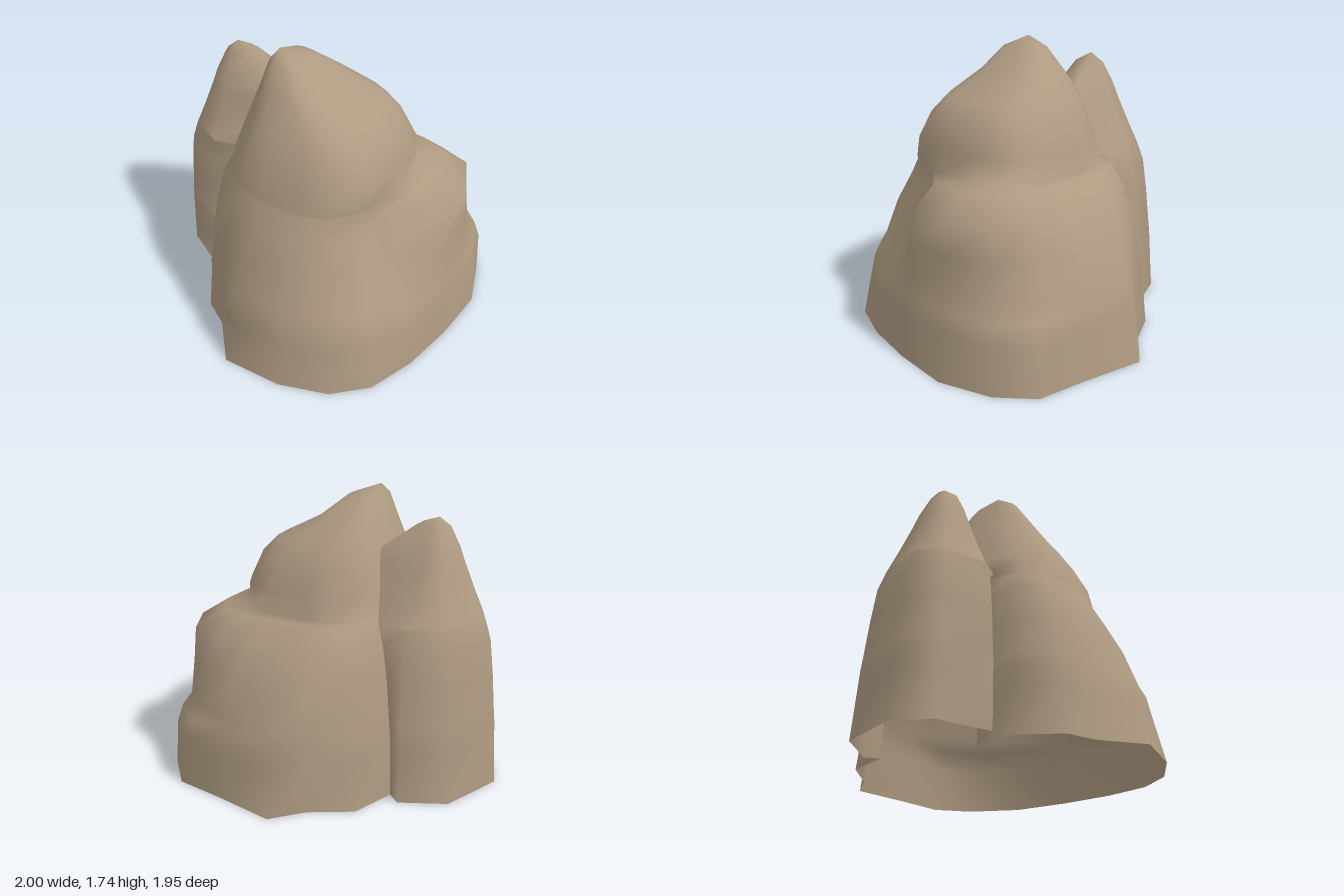
import * as THREE from 'three';

// Joins rings of [x, y, z] points into a smooth open-bottomed shell closed by an apex.
// isOpen(i, j) leaves out the panel above ring i after column j.
function loft(rings, apex, isOpen) {
  const n = rings[0].length, index = [];
  for (let i = 0; i < rings.length; i++) {
    for (let j = 0; j < n; j++) {
      if (isOpen(i, j)) continue;
      const k = (j + 1) % n, a = i * n + j, b = i * n + k;
      if (i === rings.length - 1) index.push(a, rings.length * n, b);
      else index.push(a, a + n, b, b, a + n, b + n);
    }
  }
  const g = new THREE.BufferGeometry();
  g.setAttribute('position', new THREE.Float32BufferAttribute([...rings.flat(), apex].flat(), 3));
  g.setIndex(index);
  g.computeVertexNormals();
  return g;
}

// Boulder rings: uneven lower ones with a foot lobe and a shoulder, then a squarish dome.
function boulderRings() {
  const angles = [0, 22, 40, 55, 73, 95, 112, 125, 144, 163, 185, 215, 234, 253, 265, 287, 305, 319, 338]
    .map(a => a * Math.PI / 180);
  const lower = (y, radii) => radii.map((r, j) =>
    [0.1 + r / 100 * Math.cos(angles[j]), y, r / 100 * Math.sin(angles[j])]);
  const foot = [86, 88, 92, 94, 92, 91, 79, 80, 74, 51, 47, 72, 81, 83, 93, 92, 102, 101, 93];
  const waist = [83, 77, 85, 87, 86, 84, 76, 78, 73, 50, 46, 70, 78, 81, 88, 87, 88, 91, 87];
  const base = lower(0, [89, 91, 98, 100, 98, 98, 82, 83, 74, 52, 47, 73, 84, 85, 98, 95, 105, 103, 97]);
  const lobeTop = lower(0.4, foot.map((r, j) => r + (waist[j] - r) * 0.4));
  const flank = lower(0.7, [80, 64, 73, 78, 78, 78, 73, 75, 71, 49, 45, 67, 74, 77, 80, 83, 84, 88, 85]);
  const shoulder = lower(0.9, [74, 53, 62, 67, 68, 68, 66, 69, 66, 48, 45, 62, 67, 66, 62, 67, 76, 86, 84]);
  const shelf = lower(1.01, [61, 52, 58, 62, 62, 62, 62, 64, 61, 48, 46, 57, 60, 55, 50, 53, 62, 68, 66]);

  // dome rings given by height and extents in x and z
  const bulge = v => Math.sign(v) * Math.abs(v) ** 0.8;
  const dome = [
    [1.03, -0.42, 0.62, -0.48, 0.60],
    [1.16, -0.39, 0.61, -0.46, 0.57],
    [1.32, -0.34, 0.54, -0.38, 0.49],
    [1.42, -0.31, 0.44, -0.32, 0.42],
    [1.55, -0.25, 0.18, -0.19, 0.34],
    [1.68, -0.20, 0.02, -0.03, 0.26],
  ].map(([y, x0, x1, z0, z1]) => angles.map(a => [
    (x0 + x1) / 2 + (x1 - x0) / 2 * bulge(Math.cos(a)), y,
    (z0 + z1) / 2 + (z1 - z0) / 2 * bulge(Math.sin(a))]));
  return [base, lower(0.28, foot), lobeTop, lower(0.47, waist), flank, shoulder, shelf, ...dome];
}

// Boulder shell, open at the lower left where the hollow continues into the spire.
function boulderGeometry(rings) {
  return loft(rings, [-0.15, 1.74, 0.15], (i, j) => i < 6 && (j === 9 || j === 10));
}

// Spire: an outline shrunk towards a leaning axis, its two ends joined to the boulder.
function spireGeometry(body) {
  const outline = [[-0.6, 0.37], [-0.91, 0.23], [-1, 0.01], [-0.84, -0.36], [-0.57, -0.48]];
  const section = (y, s, front, back) => [front, ...outline.map(([x, z]) => {
    const lean = 0.05 * y / 1.6;
    return [-0.62 + lean + (x + 0.62) * s, y, -0.03 + lean + (z + 0.03) * s];
  }), back];
  const scales = [1, 0.975, 0.965, 0.95, 0.91, 0.86, 0.77, 0.75, 0.61, 0.45, 0.36];
  const rings = scales.map((s, i) => {
    const y = body[i][0][1];
    if (i < 8) return section(y, s, body[i][9], body[i][11]);
    const t = (y - 1.03) / 0.39; // the neck narrows towards the saddle
    return section(y, s, [-0.28, y, 0.13 - 0.09 * t], [-0.28, y, -0.28 + 0.16 * t]);
  });
  rings.push(section(1.54, 0.21, [-0.47, 1.56, 0.05], [-0.47, 1.56, -0.04]));
  return loft(rings, [-0.58, 1.6, 0.02], (i, j) => j === 6 && i < scales.length - 1);
}

export function createModel() {
  const group = new THREE.Group();
  group.name = 'rock';
  const stone = new THREE.MeshStandardMaterial({ color: 0xae9a81, side: THREE.DoubleSide });
  stone.name = 'tan stone';
  const rings = boulderRings();
  for (const [name, geometry] of [['boulder', boulderGeometry(rings)], ['spire', spireGeometry(rings)]]) {
    const mesh = new THREE.Mesh(geometry, stone);
    mesh.name = name;
    group.add(mesh);
  }
  return group;
}
